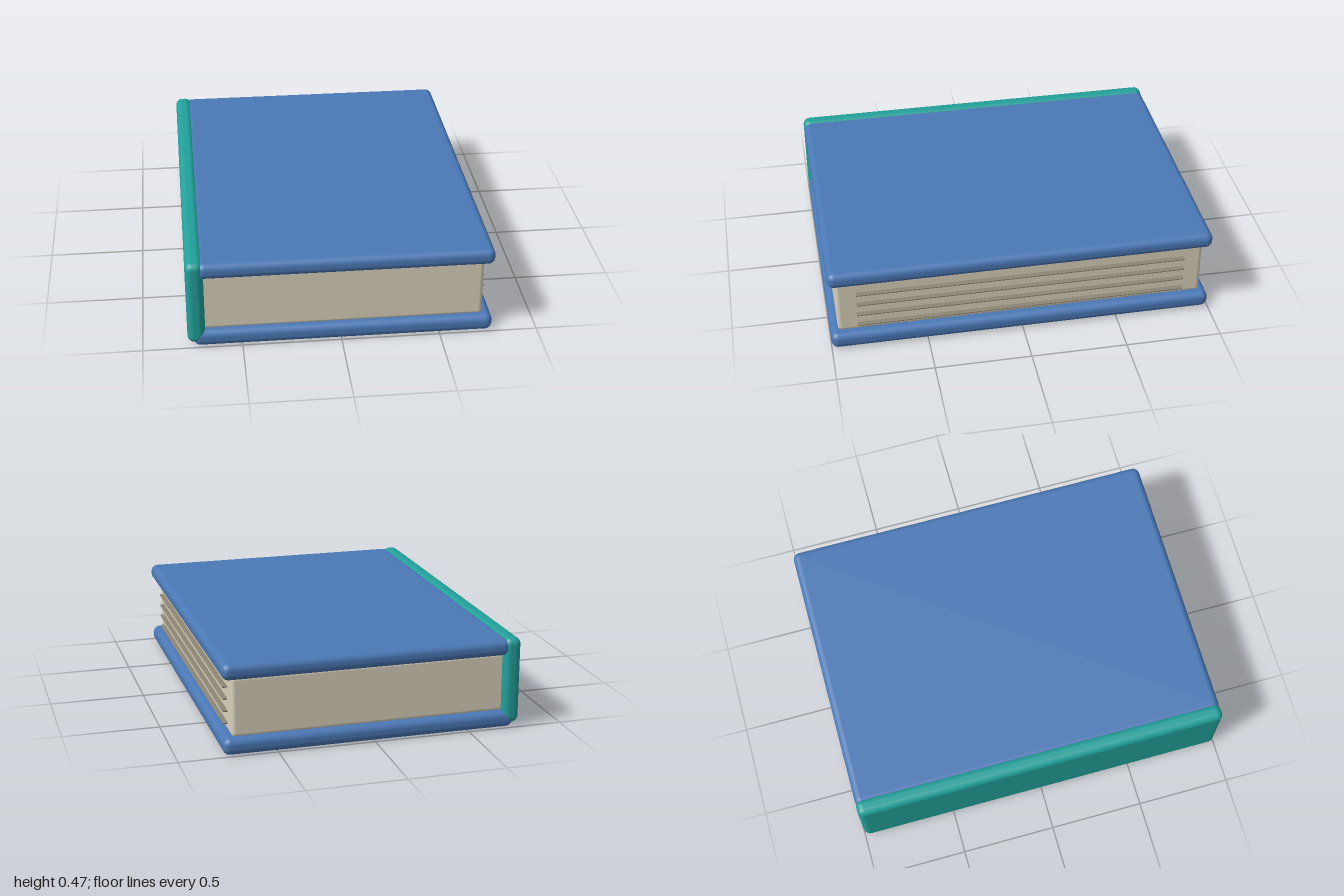
import * as THREE from 'three';
import { RoundedBoxGeometry } from 'three/addons/geometries/RoundedBoxGeometry.js';

function material(name, color) {
  const m = new THREE.MeshStandardMaterial({ color });
  m.name = name;
  return m;
}

export function createModel() {
  const book = new THREE.Group();
  book.name = 'book';
  const blue = material('cover blue', 0x4a78b5);
  const teal = material('spine teal', 0x22a09a);
  const cream = material('page cream', 0xd8d0ba);
  const grey = material('page line grey', 0x8c8674);

  // Rounded block given by its limits in x and y and its half depth in z
  function block(name, mat, x0, x1, y0, y1, halfZ, radius) {
    const geometry = new RoundedBoxGeometry(x1 - x0, y1 - y0, halfZ * 2, 5, radius);
    const mesh = new THREE.Mesh(geometry, mat);
    mesh.name = name;
    mesh.position.set((x0 + x1) / 2, (y0 + y1) / 2, 0);
    book.add(mesh);
  }

  // Hard covers
  block('bottomCover', blue, -0.745, 0.772, 0, 0.088, 1, 0.036);
  block('topCover', blue, -0.715, 0.772, 0.384, 0.469, 1, 0.036);

  // Spine
  block('spine', teal, -0.775, -0.685, 0.02, 0.475, 1, 0.036);

  // Page block
  block('pages', cream, -0.71, 0.722, 0.08, 0.392, 0.96, 0.02);

  // Thin page lines on the open edge
  for (let i = 0; i < 4; i++) {
    const y = 0.123 + i * 0.0633;
    block('pageLine' + (i + 1), grey, 0.715, 0.746, y - 0.005, y + 0.005, 0.86, 0.004);
  }
  return book;
}
